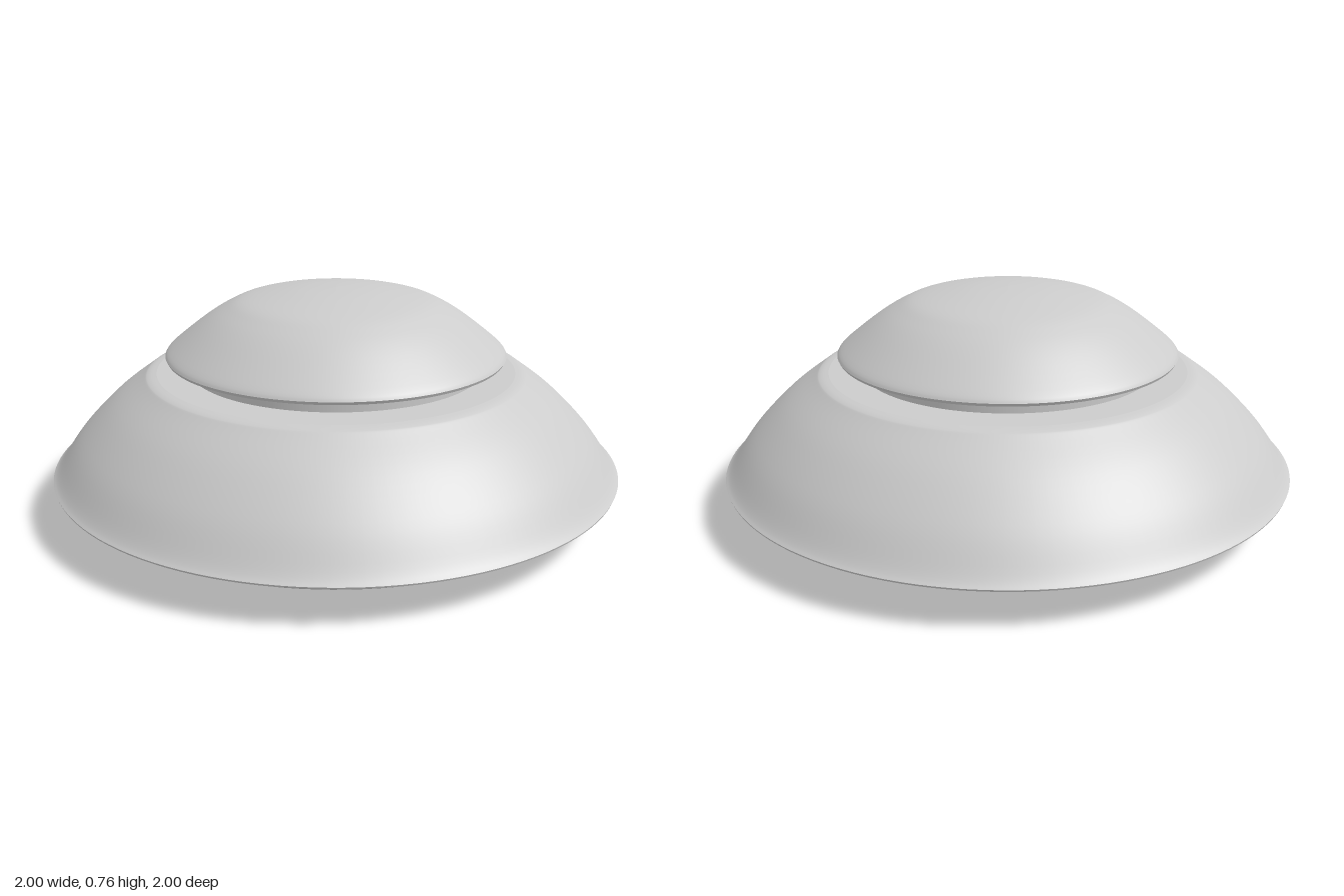
import * as THREE from 'three';

const material = new THREE.MeshStandardMaterial({ color: 0xcccccc });

// Revolve one run of [radius, y] points; runs go outward along the bottom, up, then back in.
function revolve(points, curved) {
  let profile = points.map(([r, y]) => new THREE.Vector2(r, y));
  if (curved) {
    profile = new THREE.SplineCurve(profile).getPoints(points.length * 4);
    profile.forEach((p) => { p.x = Math.max(p.x, 0); });
  }
  return new THREE.Mesh(new THREE.LatheGeometry(profile, 128), material);
}

// A part made of several runs, with a sharp edge wherever two runs meet.
function part(name, runs) {
  const group = new THREE.Group();
  group.name = name;
  runs.forEach(({ points, curved = false }, i) => {
    const mesh = revolve(points, curved);
    mesh.name = `${name}Surface${i + 1}`;
    group.add(mesh);
  });
  return group;
}

export function createModel() {
  const model = new THREE.Group();
  model.name = 'domedDisc';

  // Central boss inside the underside recess
  model.add(part('bottomBoss', [
    { points: [[0, 0.025], [0.26, 0.025]] },
    { points: [[0.287, 0.125], [0.26, 0.025]].reverse() },
  ]));

  // Recess floor and wall
  model.add(part('bottomRecess', [
    { points: [[0.287, 0.125], [0.57, 0.125]] },
    { points: [[0.57, 0.125], [0.58, 0]] },
  ]));

  // Shallow bowl under the rim
  model.add(part('lowerBowl', [
    { points: [[0.58, 0], [0.64, 0]] },
    { points: [[0.64, 0], [0.71, 0.006], [0.79, 0.029], [0.87, 0.064], [0.93, 0.095], [0.957, 0.118], [0.998, 0.133]], curved: true },
  ]));

  // Wide sloping body with a rounded shoulder and flat top
  model.add(part('upperBody', [
    { points: [[0.998, 0.133], [1, 0.139]] },
    { points: [[1, 0.139], [0.975, 0.165], [0.9, 0.267], [0.79, 0.378], [0.685, 0.458], [0.66, 0.474], [0.63, 0.48]], curved: true },
    { points: [[0.63, 0.48], [0.515, 0.48]] },
  ]));

  // Narrow neck between body and cap
  model.add(part('neck', [{ points: [[0.515, 0.48], [0.515, 0.53]] }]));

  // Domed cap with a thin overhanging edge
  model.add(part('domeCap', [
    { points: [[0.515, 0.53], [0.592, 0.53]] },
    { points: [[0.592, 0.53], [0.597, 0.54]] },
    { points: [[0.597, 0.54], [0.575, 0.565], [0.47, 0.648], [0.39, 0.698], [0.31, 0.73], [0.15, 0.756], [0, 0.764]], curved: true },
  ]));

  return model;
}
